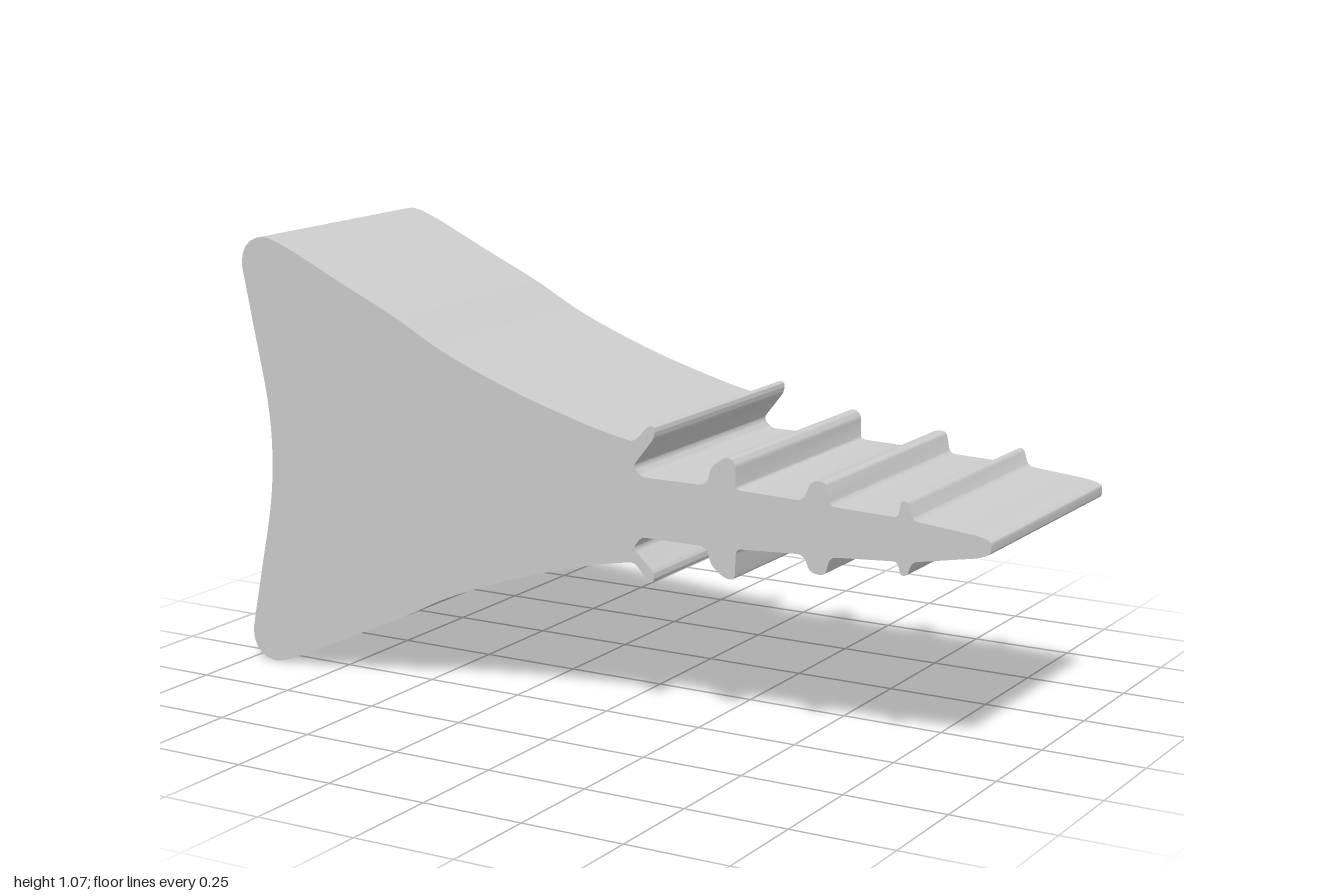
import * as THREE from 'three';
import { toCreasedNormals } from 'three/addons/utils/BufferGeometryUtils.js';

const DEPTH = 0.625;
const v = ([x, y]) => new THREE.Vector2(x, y);

// Polyline with rounded corners; each point is [x, y, radius]
function roundedLine(shape, pts) {
  for (let i = 1; i < pts.length - 1; i++) {
    const p = v(pts[i]), r = pts[i][2] ?? 0.012;
    const toward = (q) => {
      const d = v(q).sub(p);
      return p.clone().addScaledVector(d, Math.min(r / d.length(), 0.48));
    };
    const a = toward(pts[i - 1]), b = toward(pts[i + 1]);
    shape.lineTo(a.x, a.y);
    shape.quadraticCurveTo(p.x, p.y, b.x, b.y);
  }
  const end = pts[pts.length - 1];
  shape.lineTo(end[0], end[1]);
}

export function createModel() {
  const group = new THREE.Group();
  group.name = 'finnedWedge';

  // Flared side of the head, from the wide corner to the neck
  const flare = [[-0.93, 1.066], [-0.9, 1.06], [-0.83, 1.032], [-0.7, 0.972], [-0.55, 0.905],
    [-0.4, 0.829], [-0.2, 0.754], [0, 0.697], [0.105, 0.675]];

  // Upper barb and ridges, running from the neck to the tip
  const upper = [[0.105, 0.675], [0.118, 0.677], [0.153, 0.715], [0.169, 0.713], [0.168, 0.688],
    [0.112, 0.617], [0.134, 0.594], [0.304, 0.594, 0.02], [0.316, 0.638, 0.015], [0.355, 0.668, 0.02],
    [0.378, 0.655, 0.015], [0.378, 0.593], [0.55, 0.588, 0.02], [0.566, 0.634, 0.015],
    [0.604, 0.638, 0.015], [0.614, 0.584, 0.015], [0.78, 0.579], [0.787, 0.617, 0.008],
    [0.802, 0.617, 0.008], [0.816, 0.576], [0.97, 0.562], [1, 0.554, 0.02], [1, 0.538]];

  // Lower barb and ridges, running back from the tip to the neck
  const lower = [[1, 0.538], [1, 0.524, 0.02], [0.97, 0.513], [0.816, 0.484], [0.803, 0.451, 0.008],
    [0.788, 0.451, 0.008], [0.78, 0.481], [0.617, 0.469, 0.015], [0.604, 0.424, 0.015],
    [0.566, 0.428, 0.015], [0.552, 0.467, 0.02], [0.38, 0.457, 0.015], [0.378, 0.384, 0.015],
    [0.352, 0.385, 0.015], [0.317, 0.41, 0.015], [0.304, 0.453, 0.02], [0.134, 0.453],
    [0.112, 0.425], [0.168, 0.372], [0.166, 0.35], [0.153, 0.35], [0.118, 0.388], [0.105, 0.39]];

  // Whole outline
  const outline = new THREE.Shape();
  outline.moveTo(...flare[0]);
  outline.splineThru(flare.slice(1).map(v));
  roundedLine(outline, upper);
  roundedLine(outline, lower);
  outline.splineThru(flare.slice(0, -1).reverse().map(([x, y]) => v([x, 1.066 - y])));
  outline.bezierCurveTo(-0.97, 0.002, -1.0, 0.025, -0.998, 0.075);
  // Hollowed end face
  outline.splineThru([[-0.965, 0.235], [-0.932, 0.4], [-0.922, 0.533], [-0.932, 0.666],
    [-0.965, 0.831], [-0.998, 0.991]].map(v));
  outline.bezierCurveTo(-1.0, 1.041, -0.97, 1.064, -0.93, 1.066);

  const solid = new THREE.ExtrudeGeometry(outline, { depth: DEPTH, bevelEnabled: false, curveSegments: 5 });
  solid.translate(0, 0, -DEPTH / 2);
  const body = new THREE.Mesh(
    toCreasedNormals(solid, 0.6),
    new THREE.MeshStandardMaterial({ color: 0xcccccc })
  );
  body.name = 'wedgeBody';
  group.add(body);
  return group;
}
